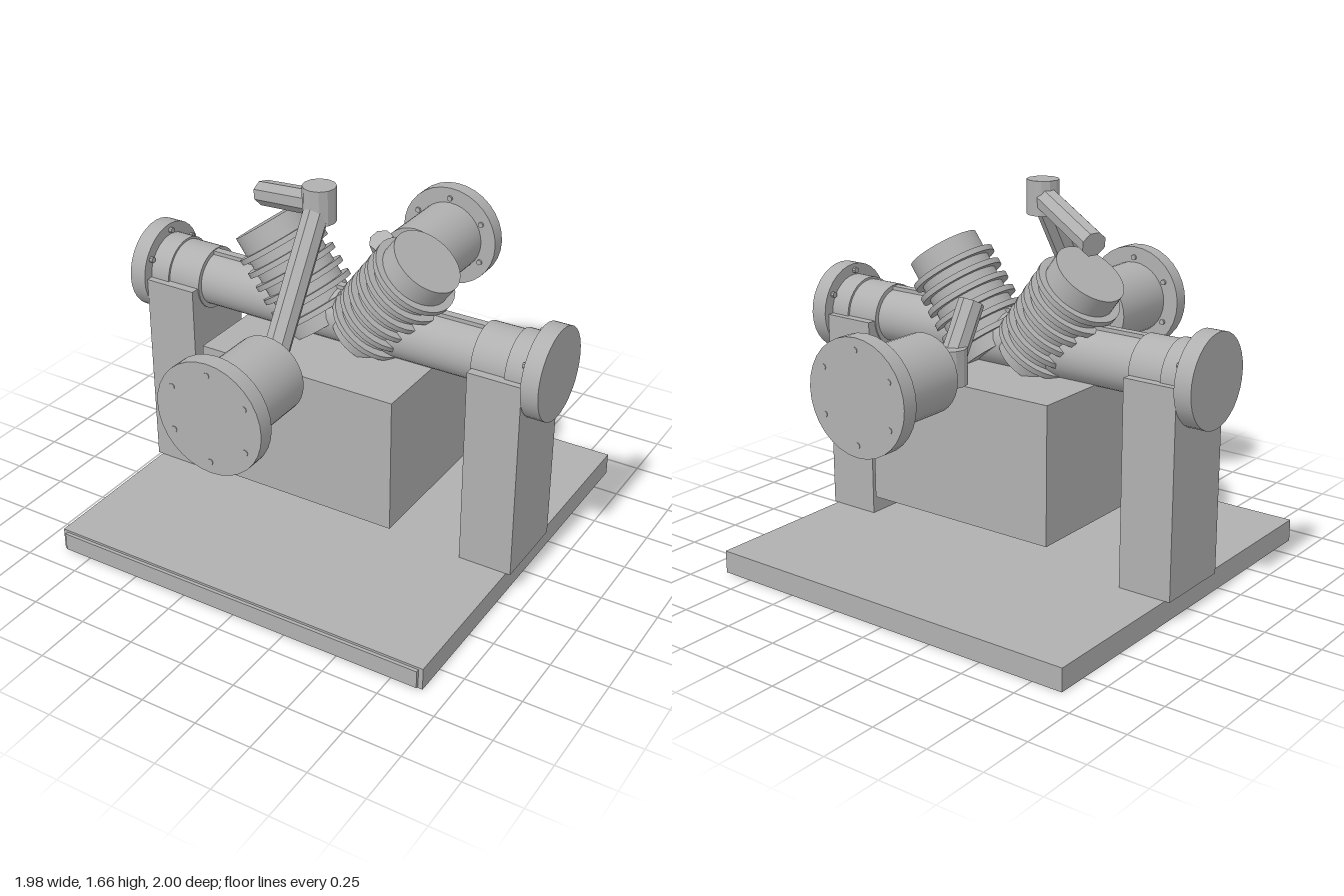
import * as THREE from 'three';

export function createModel() {
  const model = new THREE.Group();
  model.name = 'engineRig';
  const grey = new THREE.MeshStandardMaterial({ color: 0xb0b0b0 });
  grey.name = 'machine grey';

  const add = (name, geo, parent = model) => {
    const mesh = new THREE.Mesh(geo, grey);
    mesh.name = name;
    parent.add(mesh);
    return mesh;
  };
  // box from its minimum and maximum corners
  const box = (name, a, b) => {
    const mesh = add(name, new THREE.BoxGeometry(b[0] - a[0], b[1] - a[1], b[2] - a[2]));
    mesh.position.set((a[0] + b[0]) / 2, (a[1] + b[1]) / 2, (a[2] + b[2]) / 2);
  };
  // cylinder between two points; few sides give flat facets
  const up = new THREE.Vector3(0, 1, 0);
  const rod = (name, a, b, r, sides = 32, parent = model) => {
    const p = new THREE.Vector3(...a), q = new THREE.Vector3(...b);
    const d = q.clone().sub(p);
    let geo = new THREE.CylinderGeometry(r, r, d.length(), sides);
    if (sides <= 12) {
      geo = geo.toNonIndexed();
      geo.computeVertexNormals();
    }
    const mesh = add(name, geo, parent);
    mesh.position.copy(p).add(q).multiplyScalar(0.5);
    mesh.quaternion.setFromUnitVectors(up, d.normalize());
  };

  // base plate with front strip, and the central block
  box('basePlate', [-0.89, 0, -0.89], [0.89, 0.1, 0.89]);
  box('frontStrip', [-0.87, 0.01, 0.88], [0.87, 0.09, 0.905]);
  box('centralBlock', [-0.46, 0.3, -0.4], [0.455, 0.9, 0.4]);

  // main shaft with its key
  rod('mainShaft', [-0.7, 1, 0], [0.7, 1, 0], 0.12);
  box('shaftKey', [-0.77, 1.08, -0.018], [0.77, 1.135, 0.018]);

  for (const s of [-1, 1]) {
    const side = s > 0 ? 'left' : 'right';

    // supports and stepped shaft ends
    box(side + 'Support', [s > 0 ? 0.67 : -0.913, 0.1, -0.18], [s > 0 ? 0.91 : -0.67, 1, 0.18]);
    rod(side + 'InnerCollar', [s * 0.665, 1, 0], [s * 0.83, 1, 0], 0.14);
    rod(side + 'OuterCollar', [s * 0.82, 1, 0], [s * 0.92, 1, 0], 0.15);
    rod(side + 'EndFlange', [s * 0.913, 1, 0], [s * 0.99, 1, 0], 0.2);

    // front and back motors
    const end = s > 0 ? 'front' : 'back';
    rod(end + 'MotorBody', [0, 0.995, s * 0.59], [0, 0.995, s * 0.93], 0.167);
    rod(end + 'MotorFlange', [0, 0.995, s * 0.925], [0, 0.995, s * 0.995], 0.24);

    // six bolts through each flange
    for (let i = 0; i < 6; i++) {
      const t = Math.PI / 6 + i * Math.PI / 3, c = Math.cos(t), n = Math.sin(t);
      rod(end + 'FlangeBolt', [0.19 * c, 0.995 + 0.19 * n, s * 0.915],
        [0.19 * c, 0.995 + 0.19 * n, s * 0.998], 0.013, 8);
      rod(side + 'FlangeBolt', [s * 0.897, 1 + 0.17 * n, 0.17 * c],
        [s * 0.985, 1 + 0.17 * n, 0.17 * c], 0.013, 8);
    }

    // finned barrels, built upright from the top down and tilted into a V
    const barrel = new THREE.Group();
    barrel.name = side + 'Barrel';
    rod('barrelBody', [0, -0.5, 0], [0, 0, 0], 0.158, 32, barrel);
    for (let i = 0; i < 6; i++) {
      const y = -0.1 - i * 0.065;
      rod('coolingFin', [0, y - 0.012, 0], [0, y + 0.012, 0], 0.19, 32, barrel);
    }
    barrel.position.set(s * 0.385, 1.342, 0);
    barrel.rotation.z = -s * 0.628;
    model.add(barrel);
  }

  // front linkage: rising arm, elbow and short forearm
  rod('frontArm', [0, 0.995, 0.575], [0, 1.59, 0.2], 0.055, 8);
  rod('frontElbow', [0, 1.51, 0.2], [0, 1.66, 0.2], 0.07, 12);
  rod('frontForearm', [0, 1.585, 0.2], [-0.4, 1.465, 0], 0.055, 8);

  // back linkage: level arm, elbow and rising forearm
  rod('backArm', [0, 0.99, -0.6], [0, 0.99, -0.43], 0.056, 8);
  rod('backElbow', [0, 0.912, -0.435], [0, 1.067, -0.435], 0.073, 12);
  rod('backForearm', [0, 0.99, -0.43], [0, 1.225, -0.292], 0.055, 8);

  return model;
}
